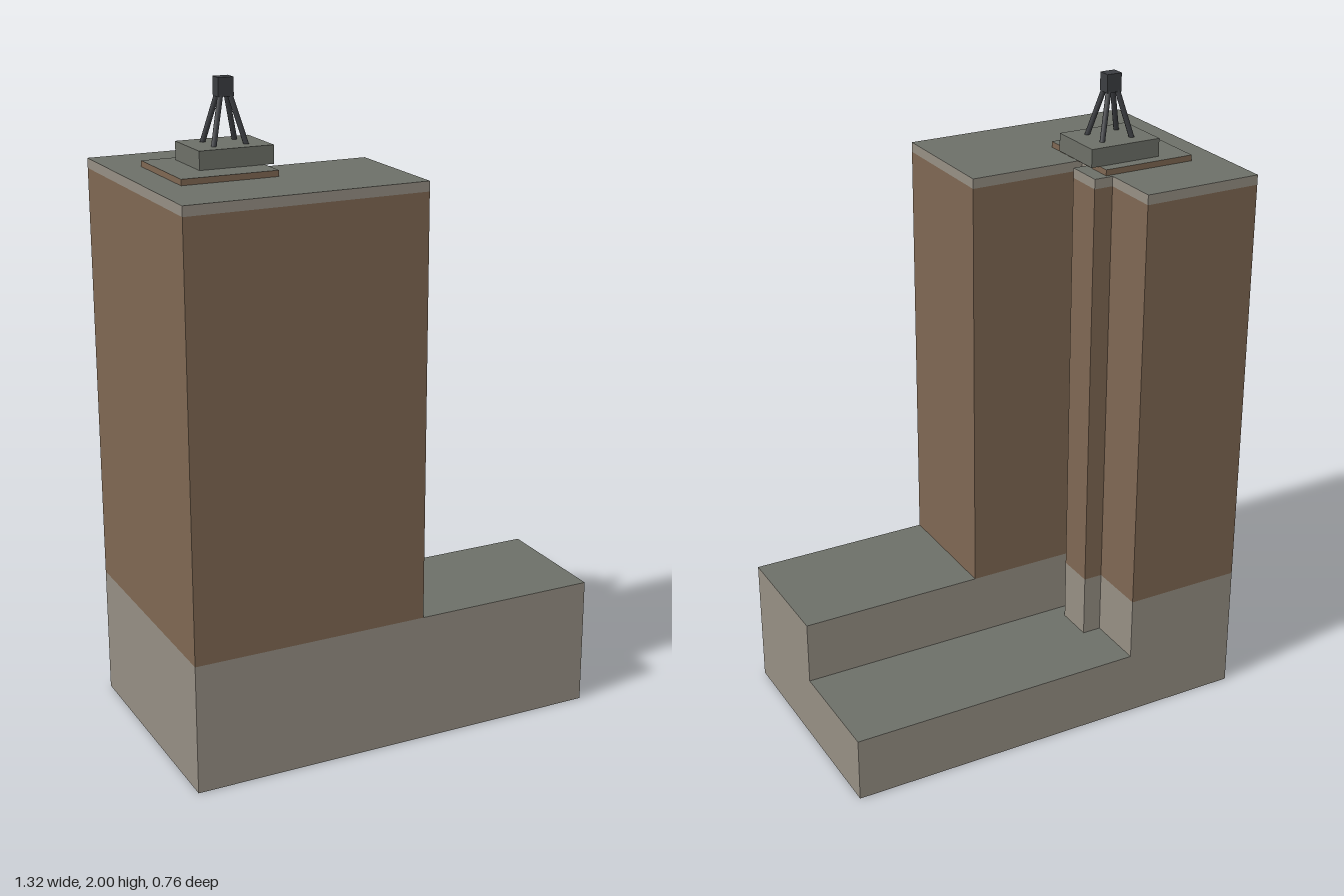
import * as THREE from 'three';

const mat = (name, color) => {
  const m = new THREE.MeshStandardMaterial({ color });
  m.name = name;
  return m;
};

export function createModel() {
  const stone = mat('pale stone', 0x968f84);
  const brick = mat('brown brick', 0x7f6853);
  const roof = mat('grey roofing', 0x6d7068);
  const iron = mat('dark iron', 0x3c3e42);
  const group = new THREE.Group();
  group.name = 'towerBlock';

  // Upright prism over a plan of [x, z] corners, with separate top, wall and underside colours
  function prism(name, plan, y0, y1, top, wall) {
    const shape = new THREE.Shape(plan.map(([x, z]) => new THREE.Vector2(x, -z)));
    const geo = new THREE.ExtrudeGeometry(shape, { depth: y1 - y0, bevelEnabled: false });
    geo.rotateX(-Math.PI / 2);
    const [caps, sides] = geo.groups.map((g) => ({ ...g }));
    const half = caps.count / 2;
    geo.clearGroups();
    geo.addGroup(0, half, 1);
    geo.addGroup(half, half, 0);
    geo.addGroup(sides.start, sides.count, 1);
    const mesh = new THREE.Mesh(geo, [top, wall]);
    mesh.name = name;
    mesh.position.y = y0;
    group.add(mesh);
  }

  const rect = (x0, x1, z0, z1) => [[x0, z1], [x1, z1], [x1, z0], [x0, z0]];

  // Inner corner of the tower, with the projecting shaft, shared by all tower layers
  const innerCorner = [
    [-0.285, -0.02], [-0.285, -0.07], [-0.225, -0.07], [-0.225, -0.19],
    [-0.285, -0.19], [-0.285, -0.378], [-0.66, -0.378],
  ];
  const lPlan = (east) => [[-0.66, 0.378], [east, 0.378], [east, -0.02], ...innerCorner];

  // Podium: low slab over the whole site, higher step along the front
  prism('lowerPodium', rect(-0.66, 0.66, -0.378, 0.378), 0, 0.205, roof, stone);
  prism('upperPodium', lPlan(0.66), 0.205, 0.405, roof, stone);

  // Tower and its parapet band
  prism('tower', lPlan(0.08), 0.405, 1.707, brick, brick);
  prism('parapet', lPlan(0.08), 1.707, 1.737, roof, stone);

  // Rooftop plinth and plant room
  prism('roofPlinth', rect(-0.565, -0.27, -0.178, 0.133), 1.737, 1.755, roof, brick);
  prism('plantRoom', rect(-0.472, -0.242, -0.143, 0.04), 1.755, 1.81, roof, roof);

  // Mast: four splayed legs carrying a small head
  const mast = new THREE.Group();
  mast.name = 'mast';
  mast.position.set(-0.357, 0, -0.051);
  group.add(mast);
  for (const sx of [-1, 1]) {
    for (const sz of [-1, 1]) {
      const foot = new THREE.Vector3(sx * 0.051, 1.806, sz * 0.043);
      const head = new THREE.Vector3(sx * 0.014, 1.952, sz * 0.012);
      const dir = head.clone().sub(foot);
      const leg = new THREE.Mesh(new THREE.CylinderGeometry(0.008, 0.008, dir.length(), 6), iron);
      leg.name = 'mastLeg';
      leg.position.copy(foot).add(head).multiplyScalar(0.5);
      leg.quaternion.setFromUnitVectors(new THREE.Vector3(0, 1, 0), dir.normalize());
      mast.add(leg);
    }
  }
  const head = new THREE.Mesh(new THREE.BoxGeometry(0.048, 0.055, 0.04), iron);
  head.name = 'mastHead';
  head.position.y = 1.9725;
  mast.add(head);

  return group;
}
